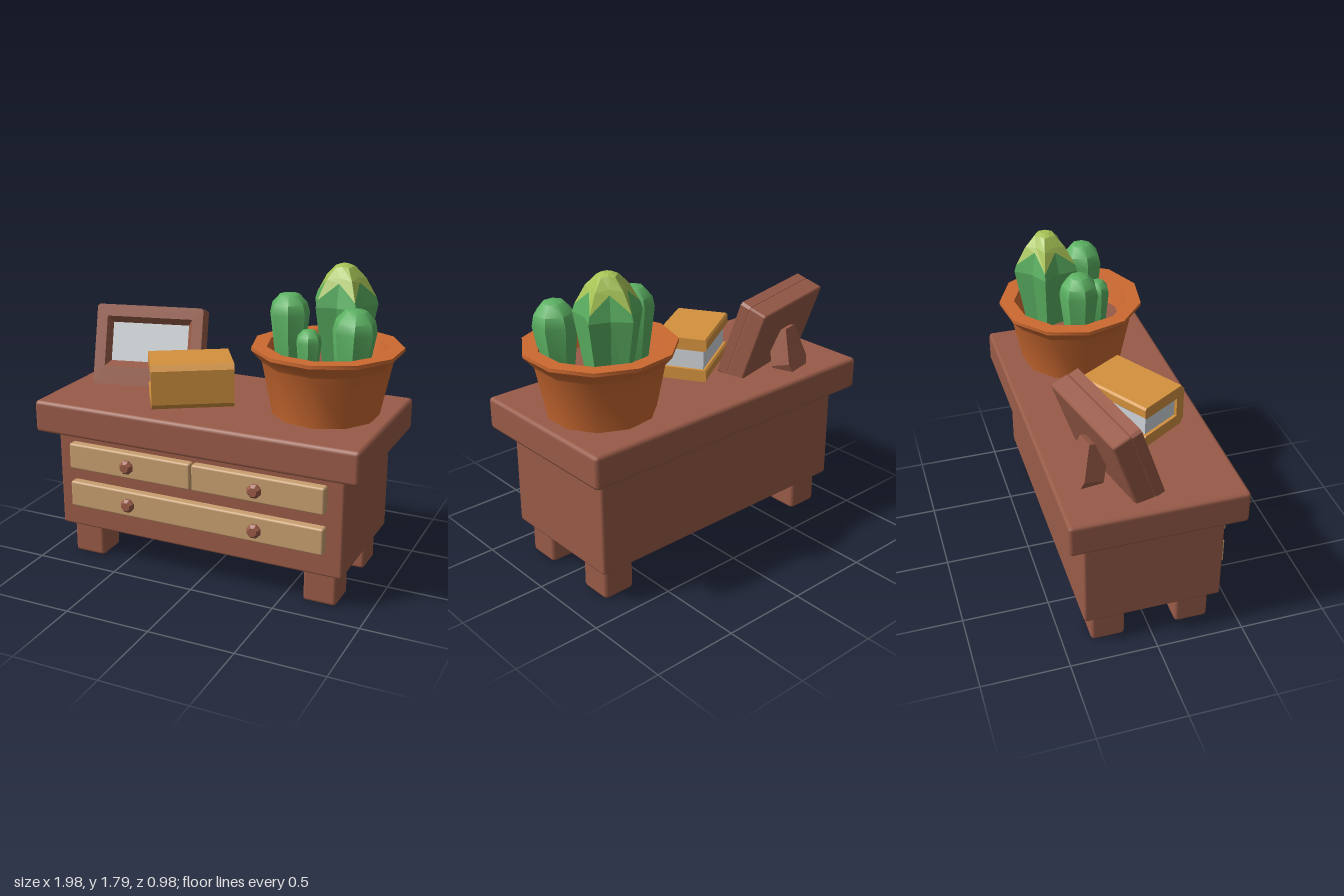
import * as THREE from 'three';
import { toCreasedNormals } from 'three/addons/utils/BufferGeometryUtils.js';
import { RoundedBoxGeometry } from 'three/addons/geometries/RoundedBoxGeometry.js';

const mat = (name, color) => {
  const m = new THREE.MeshStandardMaterial({ color });
  m.name = name;
  return m;
};

const V2 = (pts) => pts.map(([x, y]) => new THREE.Vector2(x, y));

// Flat-faced skin through equal closed rings of [x, y, z] points
function loft(rings, cap = false) {
  const pos = [];
  for (let i = 0; i < rings.length - 1; i++) {
    const a = rings[i], b = rings[i + 1], n = a.length;
    for (let j = 0; j < n; j++) {
      const k = (j + 1) % n;
      pos.push(...a[j], ...b[j], ...b[k], ...a[j], ...b[k], ...a[k]);
    }
  }
  if (cap) {
    const r = rings[rings.length - 1];
    for (let j = 1; j < r.length - 1; j++) pos.push(...r[0], ...r[j + 1], ...r[j]);
  }
  const g = new THREE.BufferGeometry();
  g.setAttribute('position', new THREE.Float32BufferAttribute(pos, 3));
  g.computeVertexNormals();
  return g;
}

export function createModel() {
  const wood = mat('brown wood', 0x995b48);
  const tan = mat('tan drawer wood', 0xc9a070);
  const clay = mat('terracotta', 0xcd6a31);
  const cover = mat('ochre cover', 0xd4923f);
  const paper = mat('pale grey', 0xd2d7db);
  const green = mat('cactus green', 0x5bb162);
  const lime = mat('lime tip', 0xa6c355);

  const model = new THREE.Group();
  const add = (name, geo, m, x = 0, y = 0, z = 0, parent = model) => {
    const mesh = new THREE.Mesh(geo, m);
    mesh.name = name;
    mesh.position.set(x, y, z);
    parent.add(mesh);
    return mesh;
  };
  // Softly bevelled box given by its limits
  const block = (name, m, x0, x1, y0, y1, z0, z1, r = 0.02, parent = model) =>
    add(name, new RoundedBoxGeometry(x1 - x0, y1 - y0, z1 - z0, 1, r), m,
      (x0 + x1) / 2, (y0 + y1) / 2, (z0 + z1) / 2, parent);

  // Dresser
  block('tabletop', wood, -1, 0.955, 0.79, 0.98, -0.49, 0.485, 0.022);
  block('cabinet', wood, -0.9, 0.855, 0.2, 0.82, -0.39, 0.395, 0.015);
  for (const x of [-0.855, 0.615])
    for (const z of [-0.34, 0.15])
      block('leg', wood, x, x + 0.195, 0, 0.22, z, z + 0.195);
  block('upperLeftDrawer', tan, -0.02, 0.76, 0.58, 0.735, 0.38, 0.445, 0.012);
  block('upperRightDrawer', tan, -0.805, -0.028, 0.58, 0.735, 0.38, 0.445, 0.012);
  block('lowerDrawer', tan, -0.805, 0.76, 0.345, 0.5, 0.38, 0.445, 0.012);

  // Drawer knobs
  const knobGeo = toCreasedNormals(new THREE.LatheGeometry(V2(
    [[0.02, 0], [0.022, 0.012], [0.042, 0.02], [0.042, 0.033], [0.026, 0.05], [0, 0.05]]), 8, Math.PI / 8), 0.5);
  knobGeo.rotateX(Math.PI / 2);
  for (const x of [-0.415, 0.37])
    for (const y of [0.66, 0.425]) add('knob', knobGeo, wood, x, y, 0.44);

  // Picture frame, turned and leaning back; its front lower edge is the pivot
  const stand = new THREE.Group();
  stand.name = 'pictureFrame';
  stand.position.set(-0.55, 0.98, -0.015);
  stand.rotation.y = 0.235;
  model.add(stand);
  const frame = new THREE.Group();
  frame.name = 'leaningFrame';
  frame.rotation.x = -0.33;
  stand.add(frame);
  const rect = (w, y0, y1, z) => [[-w, y0, z], [w, y0, z], [w, y1, z], [-w, y1, z]];
  const W = 0.325, H = 0.48, T = 0.17, b = 0.014;
  const outline = new THREE.Shape(V2([
    [-W + b, 0], [W - b, 0], [W, b], [W, H - b], [W - b, H], [-W + b, H], [-W, H - b], [-W, b]]));
  outline.holes.push(new THREE.Path(V2([[-0.26, 0.11], [-0.26, 0.41], [0.26, 0.41], [0.26, 0.11]])));
  add('frameBorder', new THREE.ExtrudeGeometry(outline, { depth: 0.06, bevelEnabled: false }),
    wood, 0, 0, -0.06, frame);
  block('frameBack', wood, -W, W, 0, H, -T, -0.056, 0.014, frame);
  const bezel = add('frameBezel', loft([rect(0.26, 0.11, 0.41, 0), rect(0.23, 0.15, 0.375, -0.05)]),
    wood.clone(), 0, 0, 0, frame);
  bezel.material = wood;
  // reverse the bezel so that it faces into the opening
  const p = bezel.geometry.attributes.position;
  const inward = new THREE.Vector3().fromBufferAttribute(bezel.geometry.attributes.normal, 0);
  if (inward.y < 0) {
    for (let i = 0; i < p.count; i += 3) {
      const s = new THREE.Vector3().fromBufferAttribute(p, i);
      p.setXYZ(i, p.getX(i + 1), p.getY(i + 1), p.getZ(i + 1));
      p.setXYZ(i + 1, s.x, s.y, s.z);
    }
    bezel.geometry.computeVertexNormals();
  }
  add('picture', new THREE.BoxGeometry(0.47, 0.235, 0.008), paper, 0, 0.2625, -0.05, frame);

  // Prop behind the frame
  const prop = new THREE.Shape(V2([[-0.075, -0.02], [0.075, -0.02], [0.1, 0.05], [0.05, 0.25], [-0.05, 0.25], [-0.1, 0.05]]));
  const propMesh = add('frameProp', new THREE.ExtrudeGeometry(prop, { depth: 0.12, bevelEnabled: false }),
    wood, 0, 0, -0.365, stand);
  propMesh.rotation.x = 0.3;

  // Book with its spine towards the front
  const book = new THREE.Group();
  book.name = 'book';
  book.position.set(-0.19, 0.98, 0.095);
  book.rotation.y = 0.55;
  model.add(book);
  const c = new THREE.Shape(V2([
    [-0.165, 0.012], [-0.155, 0], [0.14, 0], [0.165, 0.03], [0.165, 0.225], [0.14, 0.255],
    [-0.155, 0.255], [-0.165, 0.243], [-0.165, 0.195], [-0.155, 0.185], [0.105, 0.185],
    [0.105, 0.07], [-0.155, 0.07], [-0.165, 0.06]]));
  const coverGeo = new THREE.ExtrudeGeometry(c, { depth: 0.466, bevelEnabled: false });
  coverGeo.translate(0, 0, -0.233).rotateY(-Math.PI / 2);
  add('bookCover', coverGeo, cover, 0, 0, 0, book);
  add('bookPages', new THREE.BoxGeometry(0.43, 0.117, 0.255), paper, 0, 0.1275, -0.015, book);

  // Flower pot and soil
  const px = 0.577, pz = -0.047;
  const potGeo = toCreasedNormals(new THREE.LatheGeometry(V2([
    [0, 0.98], [0.3, 0.98], [0.36, 1.275], [0.365, 1.285], [0.42, 1.345], [0.42, 1.365],
    [0.335, 1.365], [0.325, 1.33], [0.285, 1.2]]), 11, 0.13), 0.6);
  add('pot', potGeo, clay, px, 0, pz);
  add('soil', new THREE.CylinderGeometry(0.295, 0.285, 0.03, 11, 1, false, 0.13), wood, px, 1.215, pz);

  // Tall star-shaped cactus: rings alternate [ridge radius, ridge y, valley radius, valley y]
  const star = (R, Y, r, y) => Array.from({ length: 10 }, (_, i) => {
    const a = -1.62 + (i * Math.PI) / 5, d = i % 2 ? r : R;
    return [Math.cos(a) * d, i % 2 ? y : Y, Math.sin(a) * d];
  });
  const edge = star(0.178, 1.61, 0.1, 1.7);
  add('tallCactus', loft([star(0.125, 1.2, 0.09, 1.2), star(0.19, 1.57, 0.13, 1.57), edge]),
    green, 0.615, 0, -0.18);
  add('tallCactusTip', loft([edge, star(0.118, 1.715, 0.085, 1.725), star(0.06, 1.775, 0.05, 1.78),
    star(0.025, 1.79, 0.025, 1.79)], true), lime, 0.615, 0, -0.18);

  // Small round cacti: x, z, radius, top height, lean
  for (const [x, z, r, top, lean] of [
    [0.355, -0.055, 0.113, 1.63, 0.02], [0.755, 0.075, 0.122, 1.61, -0.05], [0.525, 0.105, 0.07, 1.48, 0]]) {
    const h = top - 1.2;
    const g = new THREE.LatheGeometry(V2([
      [r * 0.68, 0], [r, h - r], [r * 0.88, h - r * 0.5], [r * 0.48, h - r * 0.06], [0, h]]), 7, 0.3);
    add('smallCactus', toCreasedNormals(g, 0.75), green, x, 1.2, z).rotation.z = lean;
  }
  return model;
}
